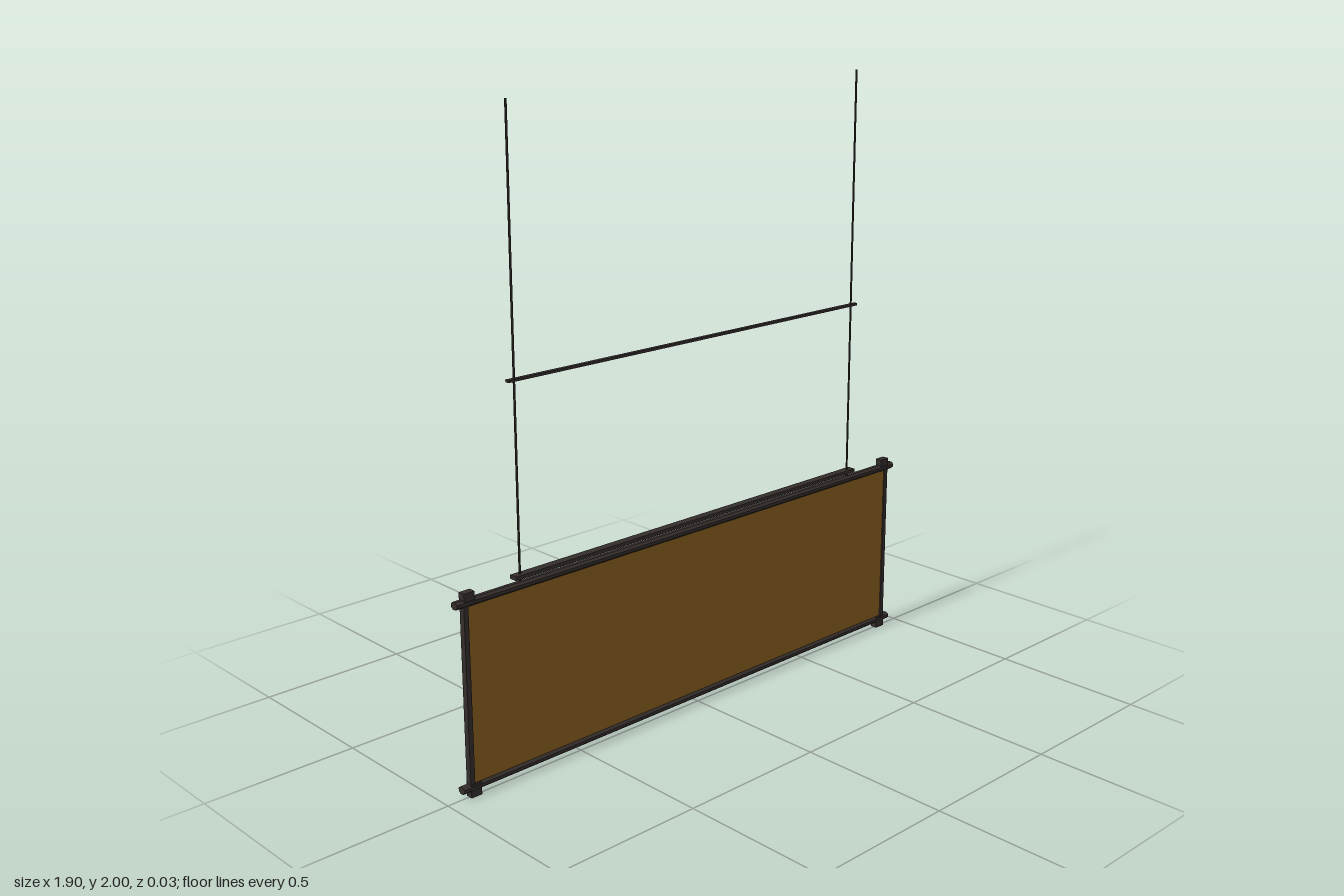
import * as THREE from 'three';

export function createModel() {
  const model = new THREE.Group();
  const dark = new THREE.MeshStandardMaterial({ color: 0x332d2b, flatShading: true });
  const ochre = new THREE.MeshStandardMaterial({ color: 0x855c1e });

  const add = (name, geometry, material, x, y) => {
    const mesh = new THREE.Mesh(geometry, material);
    mesh.name = name;
    mesh.position.set(x, y, 0);
    model.add(mesh);
    return mesh;
  };
  const box = (name, w, h, d, x, y, material = dark) =>
    add(name, new THREE.BoxGeometry(w, h, d), material, x, y);

  // Hanging sign panel
  box('signPanel', 1.82, 0.58, 0.012, 0, 0.317, ochre);

  // Frame rails, faceted bars running past the corners
  for (const [name, y] of [['topRail', 0.605], ['bottomRail', 0.03]]) {
    const bar = new THREE.CylinderGeometry(0.0125, 0.0125, 1.9, 8);
    bar.rotateY(Math.PI / 8);
    bar.rotateZ(Math.PI / 2);
    bar.scale(1, 1, 1.25);
    add(name, bar, dark, 0, y);
  }

  for (const side of [-1, 1]) {
    const label = side > 0 ? 'left' : 'right';
    // Frame stile and the blocks binding it to the rails
    box(label + 'Stile', 0.016, 0.575, 0.02, side * 0.916, 0.317);
    box(label + 'TopBlock', 0.038, 0.042, 0.024, side * 0.905, 0.616);
    box(label + 'BottomBlock', 0.038, 0.042, 0.024, side * 0.905, 0.021);
    // Suspension cord
    add(label + 'Cord', new THREE.CylinderGeometry(0.0035, 0.0035, 1.39, 6), dark, side * 0.715, 1.305);
  }

  // Cross bars threaded on the cords
  box('lowerCrossBar', 1.48, 0.012, 0.028, 0, 0.633);
  box('upperCrossBar', 1.48, 0.008, 0.014, 0, 1.22);

  return model;
}
